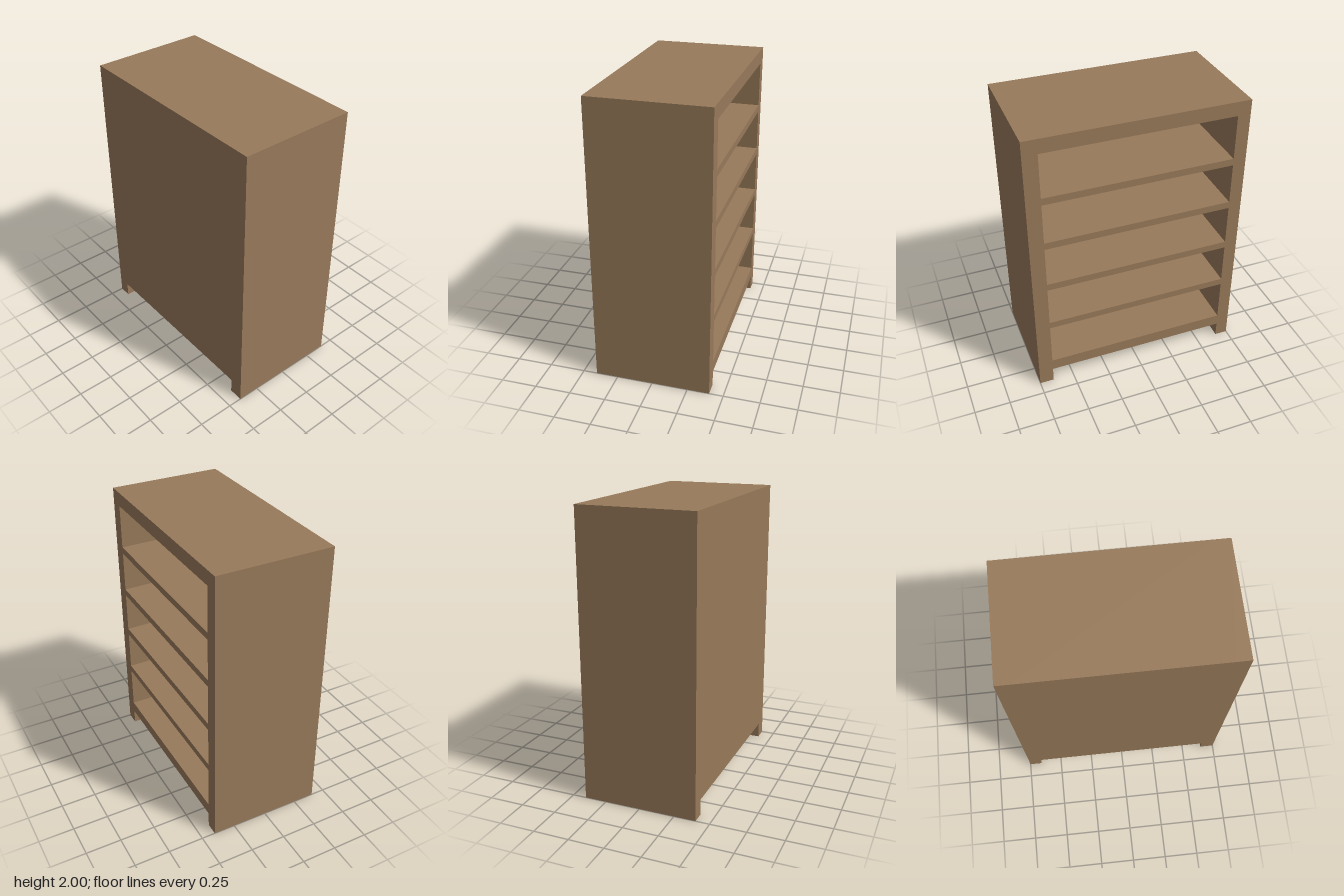
import * as THREE from 'three';

export function createModel() {
  const model = new THREE.Group();
  model.name = 'shelfCabinet';
  const wood = new THREE.MeshStandardMaterial({ color: 0x987a5a });

  const W = 0.75, D = 0.403, H = 2;   // half width, half depth, height
  const right = -0.66, left = 0.65;   // inner faces of the two sides
  const base = 0.11, panel = 0.05;    // clearance under the floor, front panel thickness

  // Box given by its minimum and maximum corners
  const board = (name, x0, x1, y0, y1, z0, z1) => {
    const mesh = new THREE.Mesh(new THREE.BoxGeometry(x1 - x0, y1 - y0, z1 - z0), wood);
    mesh.position.set((x0 + x1) / 2, (y0 + y1) / 2, (z0 + z1) / 2);
    mesh.name = name;
    model.add(mesh);
  };

  // Sides run to the ground and form the feet
  board('rightSide', -W, right, 0, H, -D, D);
  board('leftSide', left, W, 0, H, -D, D);

  // Top, floor and closed front between the sides
  board('topBoard', right, left, 1.9, H, -D, D);
  board('floorBoard', right, left, base, 0.195, -D, D);
  board('frontPanel', right, left, 0.195, 1.9, D - panel, D);

  // Four evenly spaced shelves, open at the back
  for (let i = 0; i < 4; i++) {
    const y = 0.56 + i * 0.342;
    board(`shelf${i + 1}`, right, left, y - 0.05, y, -D, D - panel);
  }
  return model;
}
